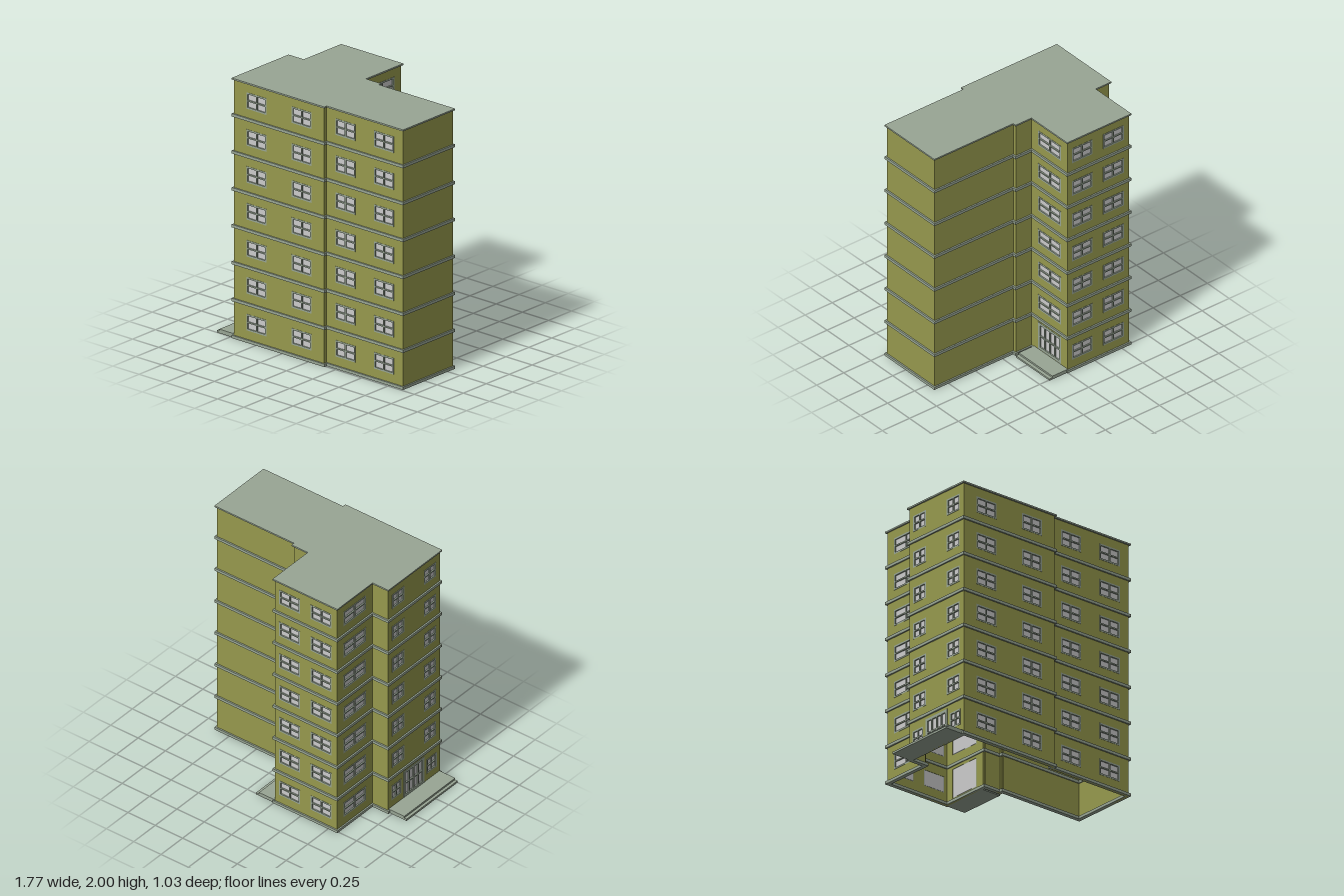
import * as THREE from 'three';

const olive = new THREE.MeshStandardMaterial({ color: 0x96994d, side: THREE.DoubleSide });
const trim = new THREE.MeshStandardMaterial({ color: 0x98a594 });
const grey = new THREE.MeshStandardMaterial({ color: 0xcccccc });

const STOREY = 0.284, FLOORS = 7, HEIGHT = STOREY * FLOORS, WALL = 0.012;

// Plan outline of the wall faces as [x, z], starting at the front
const plan = [
  [-0.718, 0.503], [0.143, 0.503], [0.143, 0.476], [0.871, 0.476],
  [0.871, -0.068], [0.143, -0.068], [0.143, -0.095], [-0.004, -0.095],
  [-0.004, -0.503], [-0.573, -0.503], [-0.573, -0.095], [-0.718, -0.095],
];

// Windows per wall (index in plan): centres along the wall from its start, and width
const windows = {
  0: { at: [0.216, 0.646], w: 0.19 },
  2: { at: [0.18, 0.547], w: 0.19 },
  7: { at: [0.204], w: 0.26, ground: [], door: { at: 0.204, w: 0.26 } },
  8: { at: [0.136, 0.424], w: 0.19 },
  9: { at: [0.204], w: 0.26 },
  11: { at: [0.115, 0.483], w: 0.14, ground: [0.095, 0.503], groundW: 0.115, door: { at: 0.299, w: 0.24 } },
};

function mesh(name, geometry, material, parent) {
  const m = new THREE.Mesh(geometry, material);
  m.name = name;
  parent.add(m);
  return m;
}

function rect(Type, x0, y0, x1, y1) {
  const r = new Type();
  r.moveTo(x0, y0); r.lineTo(x1, y0); r.lineTo(x1, y1); r.lineTo(x0, y1); r.closePath();
  return r;
}

const extrude = (shape, depth) => new THREE.ExtrudeGeometry(shape, { depth, bevelEnabled: false });

// Plan outline pushed outwards by d, as shape points
function offsetPlan(d) {
  const n = plan.length;
  const normal = (i) => {
    const a = plan[i % n], b = plan[(i + 1) % n];
    return [-Math.sign(b[1] - a[1]), Math.sign(b[0] - a[0])];
  };
  return plan.map(([x, z], i) => {
    const p = normal(i + n - 1), q = normal(i);
    return new THREE.Vector2(x + d * (p[0] + q[0]), -(z + d * (p[1] + q[1])));
  });
}

// Horizontal slab following the plan, hollow unless solid
function band(name, y, h, out, solid, parent) {
  const shape = new THREE.Shape(offsetPlan(out));
  if (!solid) shape.holes.push(new THREE.Path(offsetPlan(-0.02)));
  const m = mesh(name, extrude(shape, h).rotateX(-Math.PI / 2), trim, parent);
  m.position.y = y;
}

// Glazed unit: a frame with cols x rows panes and a glass sheet behind
function glazing(name, o, parent) {
  const g = new THREE.Group();
  g.name = name;
  const { w, h, border, bar, cols, rows } = o;
  const frame = rect(THREE.Shape, -w / 2, 0, w / 2, h);
  const pw = (w - 2 * border - (cols - 1) * bar) / cols;
  const ph = (h - 2 * border - (rows - 1) * bar) / rows;
  for (let c = 0; c < cols; c++) for (let r = 0; r < rows; r++) {
    const x = -w / 2 + border + c * (pw + bar), y = border + r * (ph + bar);
    frame.holes.push(rect(THREE.Path, x, y, x + pw, y + ph));
  }
  mesh('frame', extrude(frame, 0.012).translate(0, 0, -0.01), trim, g);
  mesh('glass', new THREE.BoxGeometry(w - 0.01, h - 0.01, 0.004).translate(0, h / 2, -0.01), grey, g);
  g.position.set(o.x, o.y, 0);
  parent.add(g);
}

// All openings of one wall
function openings(spec) {
  const list = [];
  if (!spec) return list;
  for (let f = 0; f < FLOORS; f++) {
    const ground = f === 0 && spec.ground;
    for (const x of ground ? spec.ground : spec.at) {
      list.push({
        kind: 'window', x, y: f * STOREY + 0.09, w: (ground && spec.groundW) || spec.w,
        h: 0.126, border: 0.013, bar: 0.01, cols: 2, rows: 2,
      });
    }
  }
  if (spec.door) {
    list.push({
      kind: 'door', x: spec.door.at, y: 0.032, w: spec.door.w,
      h: 0.23, border: 0.022, bar: 0.011, cols: 4, rows: 2,
    });
  }
  return list;
}

export function createModel() {
  const model = new THREE.Group();
  model.name = 'apartmentBlock';

  // Walls with their windows and doors
  plan.forEach((a, i) => {
    const b = plan[(i + 1) % plan.length];
    const dx = b[0] - a[0], dz = b[1] - a[1];
    const side = new THREE.Group();
    side.name = `side${i + 1}`;
    side.position.set(a[0], 0, a[1]);
    side.rotation.y = Math.atan2(-dz, dx);
    const shape = rect(THREE.Shape, 0, 0, Math.hypot(dx, dz), HEIGHT);
    for (const o of openings(windows[i])) {
      shape.holes.push(rect(THREE.Path, o.x - o.w / 2, o.y, o.x + o.w / 2, o.y + o.h));
      glazing(o.kind, o, side);
    }
    mesh('wall', extrude(shape, WALL).translate(0, 0, -WALL), olive, side);
    model.add(side);
  });

  // Floor bands and roof
  for (let f = 0; f < FLOORS; f++) band('floorBand', f * STOREY, 0.022, 0.012, false, model);
  band('roof', HEIGHT, 0.012, 0.012, true, model);

  // Entrance steps: two stacked slabs at each door
  const step = (x0, x1, y0, y1, z0, z1) => {
    const m = mesh('entranceStep', new THREE.BoxGeometry(x1 - x0, y1 - y0, z1 - z0), trim, model);
    m.position.set((x0 + x1) / 2, (y0 + y1) / 2, (z0 + z1) / 2);
  };
  step(-0.883, -0.718, 0, 0.016, -0.09, 0.5);
  step(-0.861, -0.718, 0.016, 0.031, -0.09, 0.5);
  step(-0.004, 0.165, 0, 0.014, -0.507, -0.122);
  step(-0.004, 0.138, 0.014, 0.028, -0.507, -0.122);

  return model;
}
